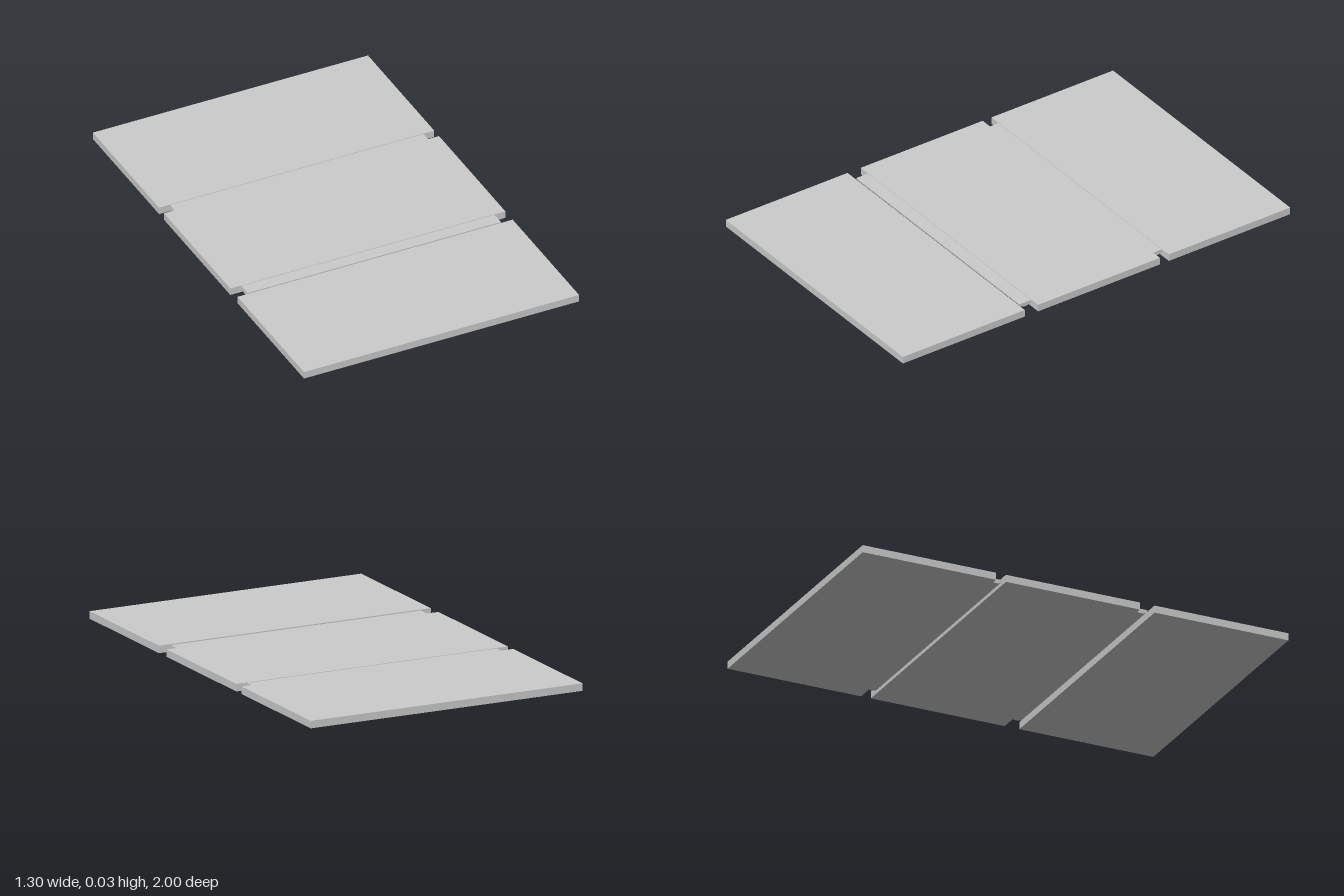
import * as THREE from 'three';

export function createModel() {
  const group = new THREE.Group();
  const material = new THREE.MeshStandardMaterial({ color: 0xcccccc });
  const height = 0.033;

  const add = (name, geometry, y, z) => {
    const mesh = new THREE.Mesh(geometry, material);
    mesh.name = name;
    mesh.position.set(0, y, z);
    group.add(mesh);
  };

  // Three flat panels laid side by side: [name, back z, front z]
  const panels = [
    ['backPanel', -1, -0.373],
    ['middlePanel', -0.327, 0.302],
    ['frontPanel', 0.371, 1],
  ];
  for (const [name, z0, z1] of panels) {
    add(name, new THREE.BoxGeometry(1.296, height, z1 - z0), height / 2, (z0 + z1) / 2);
  }

  // Hinge strips: flat on top with a shallow rounded underside
  const width = 0.062, length = 1.194, thickness = 0.02;
  const profile = new THREE.Shape();
  profile.moveTo(width / 2, 0);
  profile.lineTo(width / 2, 0.004);
  profile.lineTo(-width / 2, 0.004);
  profile.lineTo(-width / 2, 0);
  profile.absellipse(0, 0, width / 2, thickness - 0.004, Math.PI, Math.PI * 2, false);
  const strip = new THREE.ExtrudeGeometry(profile, { depth: length, bevelEnabled: false, curveSegments: 10 });
  strip.translate(0, 0, -length / 2);
  strip.rotateY(Math.PI / 2);
  add('frontHinge', strip, 0.027, 0.331);
  add('backHinge', strip, 0.027, -0.35);

  return group;
}
